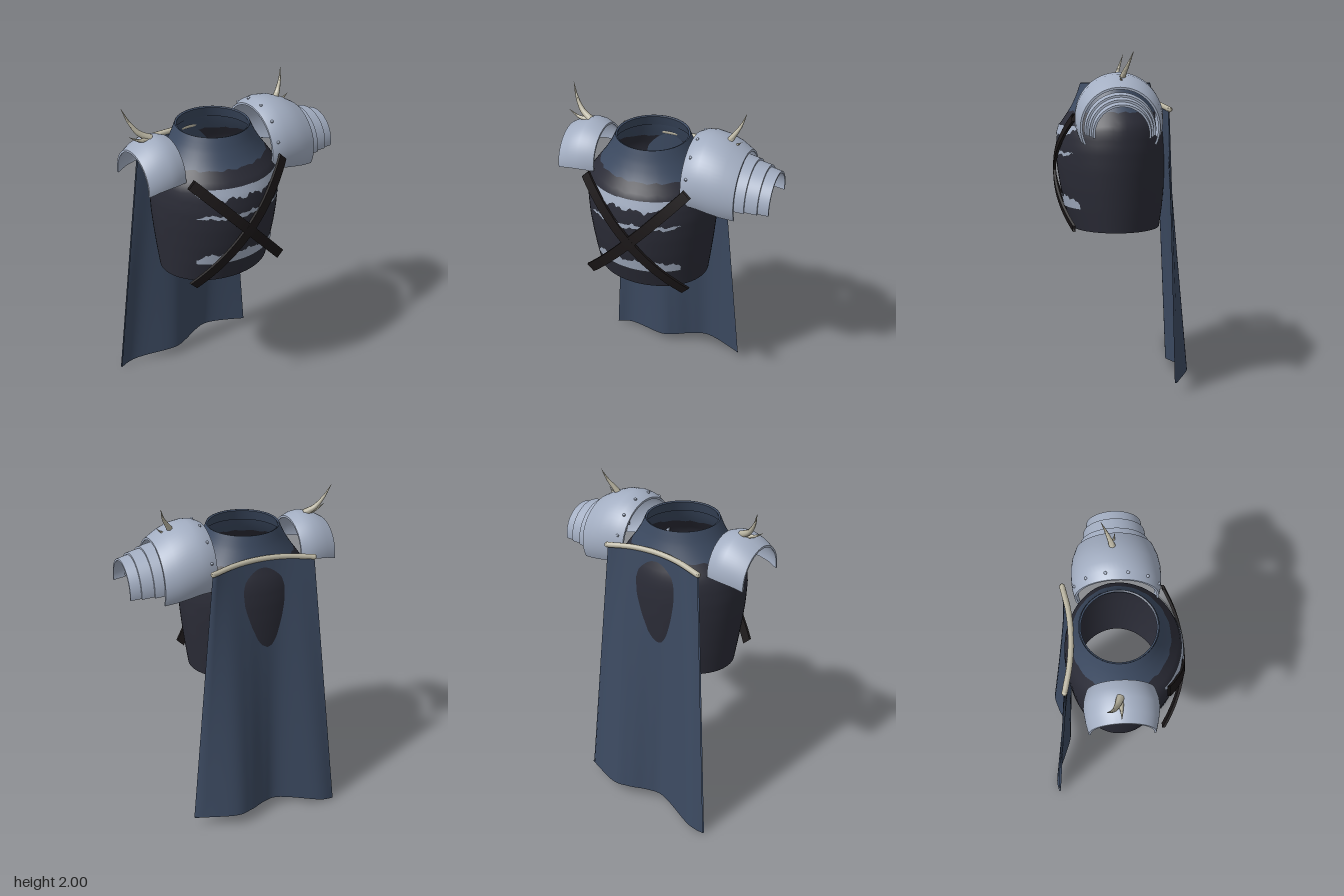
import * as THREE from 'three';
import { toCreasedNormals } from 'three/addons/utils/BufferGeometryUtils.js';
import { ParametricGeometry } from 'three/addons/geometries/ParametricGeometry.js';

const CX = -0.11; // the chest sits right of centre, balanced by the large shoulder plate
const mat = (color) => new THREE.MeshStandardMaterial({ color, roughness: 0.8, side: THREE.DoubleSide });
const BLUE = mat(0x3c4a61), DARK = mat(0x2b2c37), STEEL = mat(0xa3aec2), LEATHER = mat(0x1b1718), BONE = mat(0xbab5a2);

function add(group, name, geometry, material, crease = 0.6) {
  const mesh = new THREE.Mesh(toCreasedNormals(geometry, crease), material);
  mesh.name = name;
  group.add(mesh);
  return mesh;
}

// Surface from f(u, v) -> [x, y, z]
const surface = (f, nu, nv) => new ParametricGeometry((u, v, p) => p.set(...f(u, v)), nu, nv);

// Piecewise linear lookup in rows [key, values...] with ascending keys
function lookup(rows, k) {
  let i = 1;
  while (i < rows.length - 1 && rows[i][0] < k) i++;
  const [a, b] = [rows[i - 1], rows[i]];
  const t = THREE.MathUtils.clamp((k - a[0]) / (b[0] - a[0]), 0, 1);
  return a.slice(1).map((v, j) => v + (b[j + 1] - v) * t);
}

// Body sections: height, half width, front z, back z
const BODY = [
  [0.95, 0.337, 0.29, -0.25], [1.08, 0.354, 0.33, -0.268], [1.2, 0.368, 0.358, -0.277],
  [1.32, 0.38, 0.376, -0.283], [1.43, 0.385, 0.383, -0.285], [1.52, 0.378, 0.374, -0.28],
  [1.575, 0.365, 0.358, -0.27], [1.63, 0.325, 0.32, -0.25], [1.68, 0.287, 0.288, -0.232],
  [1.75, 0.243, 0.255, -0.208], [1.82, 0.21, 0.232, -0.192],
];
// Point on the body; angle 0 faces the front
function bodyPoint(y, a, off = 0) {
  const [rx, zf, zb] = lookup(BODY, y);
  const c = Math.cos(a), rz = c > 0 ? zf - 0.02 : 0.02 - zb;
  return [CX + (rx + off) * Math.sin(a), y, 0.02 + (rz + off) * c];
}
const ripple = (a) => 0.5 * Math.sin(a * 19) + 0.3 * Math.sin(a * 43 + 1) + 0.2 * Math.sin(a * 71);

function makeBody() {
  const g = new THREE.Group();
  g.name = 'chestArmor';
  const split = (a) => 1.655 + 0.008 * ripple(a);
  const turn = (u) => (u - 0.5) * Math.PI * 2;
  add(g, 'breastplate', surface((u, v) => bodyPoint(0.95 + v * (split(turn(u)) - 0.95), turn(u)), 72, 26), DARK, 1);
  add(g, 'collar', surface((u, v) => bodyPoint(split(turn(u)) + v * (1.82 - split(turn(u))), turn(u)), 72, 6), BLUE, 1);
  // Rolled inner lip of the neck opening
  const lip = [[0.21, 1.82], [0.2, 1.815], [0.225, 1.75]].map(([x, y]) => new THREE.Vector2(x, y));
  add(g, 'neckLip', new THREE.LatheGeometry(lip, 64).translate(CX, 0, 0.02), BLUE);

  // Torn steel bands wrapped over the front: [bottom, top, bottom raggedness, top raggedness]
  for (const [lo, hi, rl, rh] of [[1.515, 1.575, 0.02, 0], [1.395, 1.425, 0.012, 0.013], [1.08, 1.155, 0, 0.018]]) {
    add(g, 'steelBand', surface((u, v) => {
      const a = (u - 0.5) * 1.62, taper = 1 - Math.pow(Math.abs(u * 2 - 1), 6);
      const b = lo + rl * ripple(a), t = hi + rh * ripple(a + 2);
      const grow = rl === 0 || rh === 0 ? 0.4 + 0.6 * taper : taper;
      const base = rl === 0 ? b : rh === 0 ? t - (t - b) * grow : (b + t) / 2 - (t - b) * grow / 2;
      return bodyPoint(base + v * (t - b) * grow, a, 0.006);
    }, 90, 4), STEEL);
  }

  // Crossed leather straps bowed over the chest
  for (const s of [-1, 1]) {
    const corners = [[-1, -1], [1, -1], [1, 1], [-1, 1], [-1, -1]];
    add(g, 'crossStrap', surface((u, v) => {
      const t = u * 2 - 1, [w, d] = corners[Math.round(v * 4)];
      return [CX + s * 0.305 * t + w * s * 0.021, 1.3 + 0.325 * t - w * 0.021, 0.392 - 0.115 * t * t + d * 0.008];
    }, 28, 4), LEATHER);
  }
  return g;
}

// Hem of the cape: u across from right to left, z depth
const HEM = [[0, -0.392], [0.12, -0.398], [0.38, -0.315], [0.5, -0.333], [0.62, -0.382], [0.75, -0.4], [1, -0.312]];
function makeCape() {
  const g = new THREE.Group();
  g.name = 'capeGroup';
  const hem = new THREE.SplineCurve(HEM.map(([u, z]) => new THREE.Vector2(u, z)));
  const topZ = (u) => -0.236 - 0.042 * (u * 2 - 1) ** 2;
  const topY = (u) => 1.7 - 0.025 * (u * 2 - 1) ** 2;
  const sheet = (u, v, off) => {
    const h = hem.getPoint(u), x0 = -0.42 + 0.62 * u, x1 = -0.573 + 0.923 * h.x;
    const y1 = 0.005 + 0.21 * h.x - 0.14 * h.x * h.x;
    return [x0 + (x1 - x0) * v, topY(u) + (y1 - topY(u)) * v, topZ(u) + (h.y - topZ(u)) * v + off];
  };
  // Closed loop around the cloth: front, then back
  add(g, 'cape', surface((u, v) => (u <= 0.5 ? sheet(u * 2, v, 0.006) : sheet(2 - u * 2, v, -0.006)), 80, 20), BLUE, 0.8);
  add(g, 'capeHem', surface((u, v) => sheet(u, 1, 0.006 - 0.012 * v), 40, 1), BLUE);
  const pole = new THREE.CatmullRomCurve3([0, 0.25, 0.5, 0.75, 1].map((u) =>
    new THREE.Vector3(-0.42 + 0.62 * u, topY(u) - 0.005, topZ(u) - 0.002)));
  add(g, 'capeRod', new THREE.TubeGeometry(pole, 24, 0.016, 8, false), BONE, 1);
  for (const u of [0, 1]) {
    const cap = add(g, 'capeRodEnd', new THREE.SphereGeometry(0.016, 8, 6), BONE, 1);
    cap.position.copy(pole.getPoint(u));
  }
  return g;
}

// Arched plate around the x axis: rows are [x, radius, centre height]
function arch(rows, half, thick = 0.012) {
  const outer = rows.map(([x, r]) => new THREE.Vector2(r, x));
  const inner = rows.map(([x, r]) => new THREE.Vector2(r - thick, x)).reverse();
  const geo = new THREE.LatheGeometry([...outer, ...inner, outer[0].clone()], 40, 1.5 * Math.PI - half, 2 * half);
  geo.rotateZ(-Math.PI / 2);
  const p = geo.attributes.position;
  for (let i = 0; i < p.count; i++) p.setY(i, p.getY(i) + lookup(rows, p.getX(i))[1]);
  return geo.translate(0, 0, 0.02);
}

// Tapered horn along a curve
function horn(points, radius) {
  const curve = new THREE.CatmullRomCurve3(points.map((p) => new THREE.Vector3(...p)));
  const geo = new THREE.TubeGeometry(curve, 14, radius, 8, false), p = geo.attributes.position;
  for (let i = 0; i < p.count; i++) {
    const t = Math.floor(i / 9) / 14, c = curve.getPointAt(t);
    const v = new THREE.Vector3().fromBufferAttribute(p, i).sub(c).multiplyScalar(1 - 0.97 * t).add(c);
    p.setXYZ(i, v.x, v.y, v.z);
  }
  return geo;
}

function makeShoulders() {
  const g = new THREE.Group();
  g.name = 'shoulderArmor';
  // Large left plate with three overlapping arm rings
  add(g, 'leftShoulderPlate', arch([[0.145, 0.233, 1.622], [0.19, 0.245, 1.633], [0.24, 0.25, 1.634],
    [0.31, 0.251, 1.622], [0.38, 0.242, 1.603], [0.45, 0.222, 1.58]], 2.02), STEEL);
  for (const [x0, x1, r, y] of [[0.43, 0.502, 0.198, 1.57], [0.49, 0.572, 0.18, 1.565], [0.56, 0.632, 0.162, 1.558]])
    add(g, 'armRing', arch([[x0, r + 0.003, y + 0.003], [x1, r - 0.005, y - 0.003]], 1.72), STEEL);
  for (let i = 0; i < 6; i++) {
    const a = (i - 2.5) * 0.506;
    const rivet = add(g, 'rivet', new THREE.SphereGeometry(0.009, 10, 8), STEEL, 1);
    rivet.position.set(0.18, 1.631 + 0.243 * Math.cos(a), 0.02 + 0.243 * Math.sin(a));
  }
  // Smaller right plate
  add(g, 'rightShoulderPlate', arch([[-0.628, 0.18, 1.593], [-0.57, 0.195, 1.613], [-0.5, 0.205, 1.625],
    [-0.45, 0.2, 1.625], [-0.402, 0.186, 1.619]], 1.66), STEEL);

  // Horns on both shoulders
  add(g, 'leftHorn', horn([[0.325, 1.83, 0.012], [0.36, 1.885, -0.008], [0.39, 1.935, -0.03], [0.412, 2, -0.056]], 0.021), BONE, 1);
  add(g, 'leftSmallHorn', horn([[0.345, 1.82, 0.005], [0.385, 1.84, 0.012], [0.415, 1.865, 0.018]], 0.014), BONE, 1);
  add(g, 'rightHorn', horn([[-0.502, 1.82, 0.012], [-0.56, 1.855, -0.008], [-0.605, 1.92, -0.032], [-0.636, 2, -0.06]], 0.022), BONE, 1);
  add(g, 'rightSmallHorn', horn([[-0.51, 1.815, 0.012], [-0.575, 1.826, 0.016], [-0.635, 1.86, 0.014]], 0.017), BONE, 1);
  return g;
}

export function createModel() {
  const model = new THREE.Group();
  model.name = 'capedArmor';
  model.add(makeBody(), makeCape(), makeShoulders());
  return model;
}
